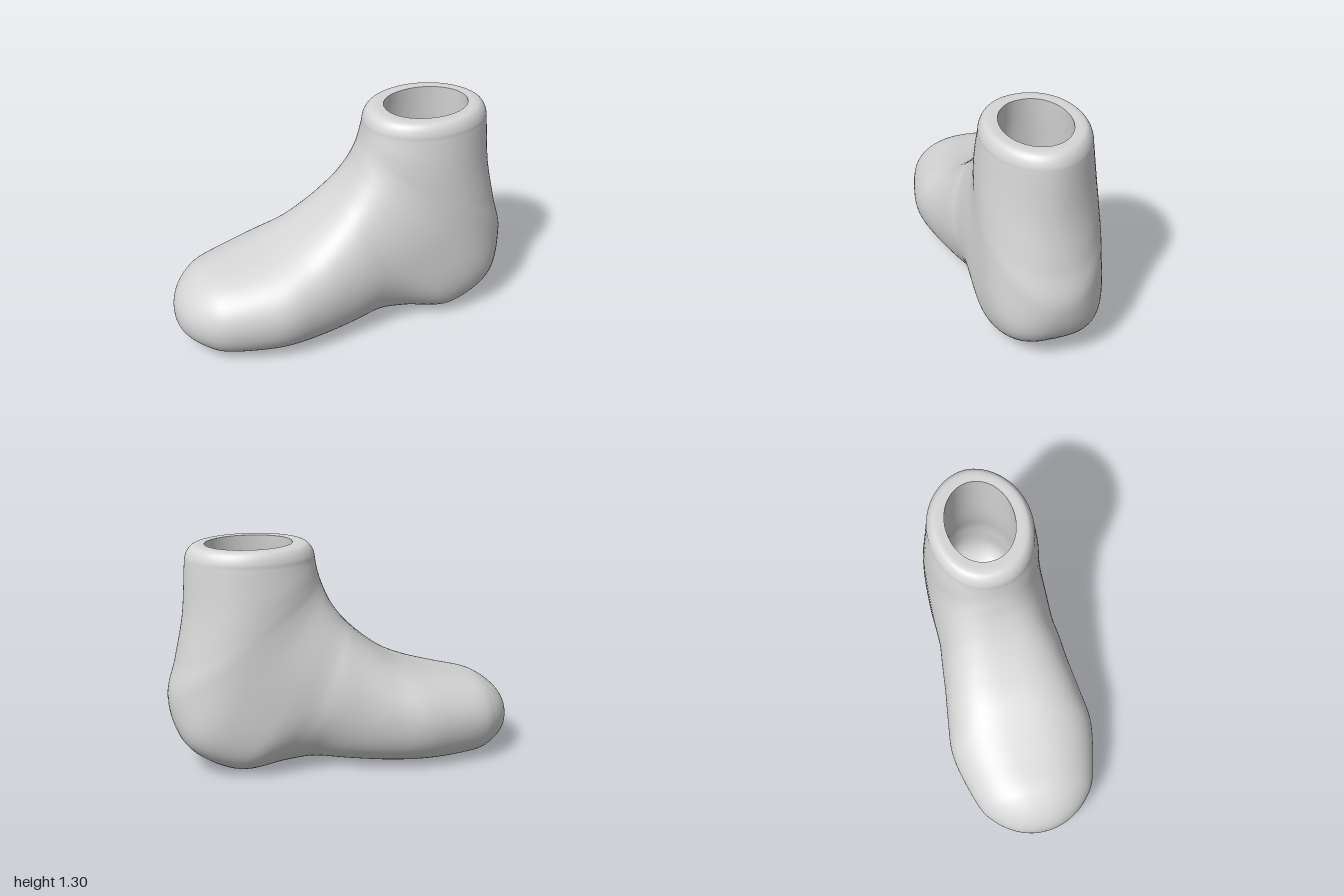
import * as THREE from 'three';
import { mergeVertices } from 'three/addons/utils/BufferGeometryUtils.js';

const { smoothstep } = THREE.MathUtils;

// Each section is a closed ring in a tilted plane:
// [frontX, frontY, backX, backY, halfWidth]
const footSections = [
  // forefoot and arch
  [-0.6, 0.498, -0.6, 0.007, 0.395],
  [-0.42, 0.55, -0.42, 0.004, 0.424],
  [-0.27, 0.62, -0.2, 0.008, 0.402],
  [-0.13, 0.725, 0, 0.022, 0.375],
  [-0.03, 0.82, 0.2, 0.037, 0.357],
  [0.02, 0.88, 0.36, 0.025, 0.343],
  // heel, fanned around the instep
  [0.075, 0.965, 0.66, 0.015, 0.343],
  [0.105, 1.035, 0.92, 0.17, 0.337],
  [0.122, 1.08, 1, 0.42, 0.332],
  // ankle
  [0.134, 1.12, 0.952, 0.64, 0.327],
  [0.143, 1.16, 0.902, 0.9, 0.317],
];

const mouth = [0.275, 1.3, 0.765, 1.3, 0.193];

// Cavity from the mouth down to its floor
const liningSections = [
  mouth,
  [0.22, 0.8, 0.8, 0.8, 0.22],
  [0.2, 0.5, 0.86, 0.5, 0.24],
  [0.24, 0.25, 0.85, 0.25, 0.22],
  [0.36, 0.15, 0.74, 0.15, 0.14],
  [0.55, 0.13, 0.55, 0.13, 0],
];

// Rounded toe cap: an ellipsoidal nose, flatter underneath
function toeSections() {
  return [0, 1, 2, 3, 4, 5].map((i) => {
    const a = (i / 5) * (Math.PI / 3);
    const s = Math.sin(a);
    const x = -1 + 0.4 * (1 - Math.cos(a));
    return [x, 0.21 + 0.28 * s, x, 0.21 - 0.208 * Math.pow(s, 0.75), 0.385 * s];
  });
}

// Quarter-round rim: the ring turns inward as it rises
function rimSections() {
  return [0, 1, 2, 3, 4].map((i) => {
    const a = (i / 4) * (Math.PI / 2);
    const inset = 0.07 * (1 - Math.cos(a));
    const y = 1.2 + 0.1 * Math.sin(a);
    return [0.15 + inset, y, 0.88 - inset, y, 0.298 - 0.75 * inset];
  });
}

// Roundness of a ring's front half: full over the instep, rounder at toe tip and shin
const frontPower = (x, y) =>
  0.72 + 0.18 * smoothstep(-x, 0.6, 1) + 0.2 * smoothstep(y, 0.9, 1.25);

// Roundness of a ring's back half: boxy under the foot, tapered up the heel
const backPower = (x, y) =>
  0.55 + 0.25 * smoothstep(-x, 0.75, 1) + 0.13 * smoothstep(x, -0.4, 0.3) +
  0.27 * smoothstep(y, 0.1, 0.45) * smoothstep(x, 0.5, 0.9) +
  0.12 * smoothstep(y, 0.6, 1.2);

// Fuller low on the heel, pinched at the arch
const lowerBulge = (x, y) =>
  0.3 * smoothstep(x, 0.35, 0.65) * (1 - smoothstep(y, 0, 0.5)) -
  0.15 * Math.exp(-(((x - 0.22) / 0.15) ** 2));

// Smoothly interpolates the sections and skins them with a closed grid
function loft(sections, steps, sides) {
  const front = new THREE.CatmullRomCurve3(
    sections.map(([x, y, , , w]) => new THREE.Vector3(x, y, w)));
  const back = new THREE.CatmullRomCurve3(
    sections.map(([, , x, y]) => new THREE.Vector3(x, y, 0)));
  const rings = (sections.length - 1) * steps;
  const positions = [];
  const index = [];

  for (let i = 0; i <= rings; i++) {
    const a = front.getPoint(i / rings);
    const b = back.getPoint(i / rings);
    const upper = frontPower(a.x, a.y);
    const lower = backPower(b.x, b.y);
    const bulge = lowerBulge(b.x, b.y);
    for (let j = 0; j < sides; j++) {
      const angle = (j / sides) * Math.PI * 2;
      const c = Math.cos(angle);
      const s = j % (sides / 2) === 0 ? 0 : Math.sin(angle);
      const t = (1 - c) / 2;
      const width = Math.pow(Math.abs(s), c > 0 ? upper : lower) *
        (1 + bulge * Math.min(0, c) ** 2);
      positions.push(
        a.x + (b.x - a.x) * t,
        Math.max(0, a.y + (b.y - a.y) * t),
        Math.sign(s) * a.z * width
      );
      if (i < rings) {
        const p0 = i * sides + j;
        const p1 = i * sides + ((j + 1) % sides);
        index.push(p0, p1, p0 + sides, p1, p1 + sides, p0 + sides);
      }
    }
  }
  const geometry = new THREE.BufferGeometry();
  geometry.setAttribute('position', new THREE.Float32BufferAttribute(positions, 3));
  geometry.setIndex(index);
  // Weld the closed ends so they shade smoothly
  const welded = mergeVertices(geometry, 1e-5);
  welded.computeVertexNormals();
  return welded;
}

export function createModel() {
  const group = new THREE.Group();
  group.name = 'ankleBoot';
  const grey = new THREE.MeshStandardMaterial({ color: 0xd6d6d6 });
  grey.name = 'plain grey';

  const add = (name, sections) => {
    const mesh = new THREE.Mesh(loft(sections, 8, 72), grey);
    mesh.name = name;
    group.add(mesh);
  };
  add('outerShell', [...toeSections(), ...footSections, ...rimSections(), mouth]);
  add('innerLining', liningSections);
  return group;
}
